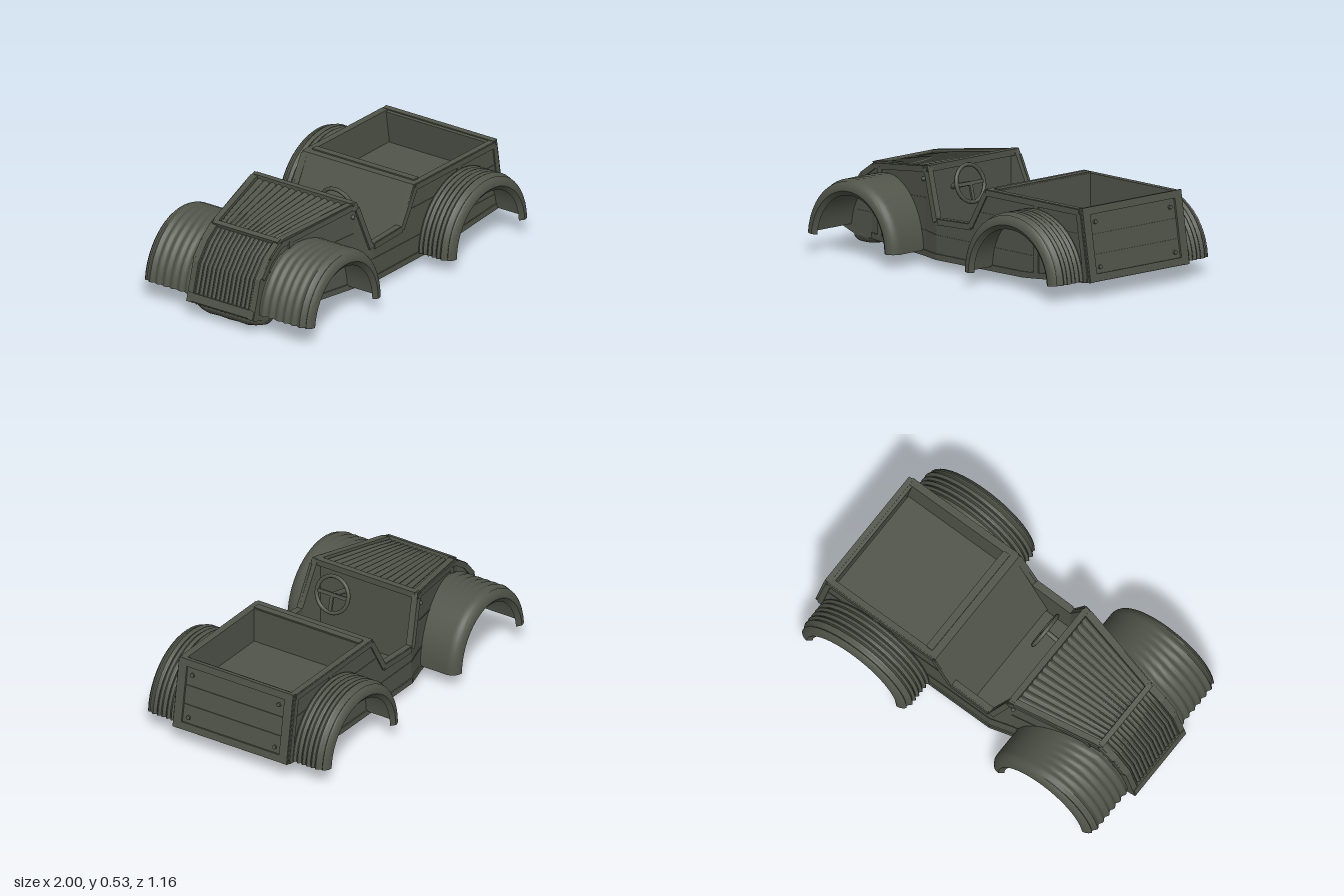
import * as THREE from 'three';
import { toCreasedNormals } from 'three/addons/utils/BufferGeometryUtils.js';

const paint = new THREE.MeshStandardMaterial({ color: 0x51554a, side: THREE.DoubleSide });
paint.name = 'dark olive grey';

// linear interpolation through [x, y] stations
function lerpPath(points, x) {
  for (let i = 1; i < points.length; i++) {
    const [a, b] = [points[i - 1], points[i]];
    if (x <= b[0]) return a[1] + (b[1] - a[1]) * Math.max(0, (x - a[0]) / (b[0] - a[0]));
  }
  return points[points.length - 1][1];
}
const WIDTH = [[-1, 0.22], [-0.78, 0.22], [-0.27, 0.33], [-0.15, 0.365], [1, 0.365]];
const BOTTOM = [[-1, 0.09], [-0.9, 0.055], [-0.8, 0.05], [0.5, 0.05], [1, 0.09]];
const halfWidth = (x) => lerpPath(WIDTH, x);

function add(parent, name, geometry) {
  const mesh = new THREE.Mesh(geometry, paint);
  mesh.name = name;
  parent.add(mesh);
  return mesh;
}

// surface from a rule fn(u, v) -> [x, y, z]
function sheet(nu, nv, fn) {
  const pos = [], idx = [];
  for (let i = 0; i <= nu; i++) for (let j = 0; j <= nv; j++) pos.push(...fn(i / nu, j / nv));
  for (let i = 0; i < nu; i++) for (let j = 0; j < nv; j++) {
    const a = i * (nv + 1) + j, b = a + nv + 1;
    idx.push(a, b, a + 1, b, b + 1, a + 1);
  }
  const g = new THREE.BufferGeometry();
  g.setAttribute('position', new THREE.Float32BufferAttribute(pos, 3));
  g.setIndex(idx);
  return toCreasedNormals(g, 0.6);
}

function extrude(points, depth) {
  const shape = new THREE.Shape(points.map((p) => new THREE.Vector2(...p)));
  return new THREE.ExtrudeGeometry(shape, { depth, bevelEnabled: false });
}

function box(parent, name, size, at) {
  const m = add(parent, name, new THREE.BoxGeometry(...size));
  m.position.set(...at);
  return m;
}

// straight batten between two points, its flat side facing z
function batten(parent, name, a, b, width, depth) {
  const p = new THREE.Vector3(...a), q = new THREE.Vector3(...b);
  const dir = q.clone().sub(p), length = dir.length();
  dir.normalize();
  const y = new THREE.Vector3(0, 0, 1).cross(dir).normalize();
  const z = dir.clone().cross(y);
  const m = box(parent, name, [length, width, depth], p.add(q).multiplyScalar(0.5).toArray());
  m.quaternion.setFromRotationMatrix(new THREE.Matrix4().makeBasis(dir, y, z));
}

// hollow arched mudguard with rounded shoulder and lengthwise ridges
function fender(parent, name, side, o) {
  const point = (t, s, inner) => {
    const angle = o.start + (o.end - o.start) * t;
    const x0 = o.cx + o.rx * Math.cos(angle);
    const zi = halfWidth(x0) - 0.02, zs = o.out - 0.06;
    const a = Math.max(0, (s - 0.75) / 0.25) * Math.PI / 2;
    let z = s < 0.75 ? zi + (zs - zi) * s / 0.75 : zs + 0.06 * Math.sin(a);
    let drop = 0.06 * (1 - Math.cos(a));
    if (inner) {
      drop += 0.025;
      z -= 0.02 * s;
    } else if (s < 0.85) {
      drop += 0.006 * o.ridge(t) * (1 - Math.cos(s * Math.PI * 16));
    }
    return [o.cx + (o.rx - drop) * Math.cos(angle),
      0.075 + (0.357 - drop) * Math.sin(angle), side * z];
  };
  const g = new THREE.Group();
  g.name = name;
  parent.add(g);
  add(g, 'fenderTop', sheet(24, 60, (t, s) => point(t, s, false)));
  add(g, 'fenderUnderside', sheet(24, 24, (t, s) => point(t, s, true)));
  add(g, 'fenderLip', sheet(24, 1, (t, k) => point(t, 1, k > 0)));
  for (const end of [0, 1]) add(g, 'fenderEnd', sheet(60, 1, (s, k) => point(end, s, k > 0)));
}

export function createModel() {
  const car = new THREE.Group();
  car.name = 'woodenCar';

  // side walls, each panel bent to the plan width
  const panels = {
    nosePanel: [[-1, 0.09], [-0.9, 0.055], [-0.78, 0.05], [-0.78, 0.455], [-0.86, 0.4], [-0.94, 0.3]],
    hoodPanel: [[-0.78, 0.05], [-0.27, 0.05], [-0.27, 0.533], [-0.74, 0.475], [-0.78, 0.455]],
    cowlPanel: [[-0.27, 0.05], [-0.15, 0.05], [-0.15, 0.27], [-0.25, 0.535], [-0.27, 0.533]],
    rearPanel: [[-0.15, 0.05], [0.5, 0.05], [1, 0.09], [0.99, 0.11], [0.93, 0.475], [0.21, 0.48],
      [0.1, 0.28], [-0.15, 0.27]],
  };
  // raised edge rails and plank seams as [x, y] runs
  const rails = [
    [[-0.78, 0.068], [-0.27, 0.066], [-0.15, 0.066], [0.5, 0.066], [0.98, 0.105]],
    [[-0.14, 0.253], [0.105, 0.262], [0.222, 0.462], [0.92, 0.457]],
    [[-0.92, 0.3], [-0.85, 0.385], [-0.76, 0.445], [-0.28, 0.513], [-0.25, 0.5], [-0.16, 0.25]],
    [[0.915, 0.45], [0.97, 0.11]],
    [[-0.7, 0.07], [-0.7, 0.45]],
    [[0.6, 0.07], [0.6, 0.45]],
  ];
  const seams = [
    [[-0.9, 0.19], [-0.78, 0.19], [-0.27, 0.185], [-0.15, 0.18], [0.96, 0.17]],
    [[-0.88, 0.32], [-0.78, 0.32], [-0.27, 0.36]],
    [[0.17, 0.35], [0.94, 0.34]],
  ];
  for (const side of [1, -1]) {
    const wall = new THREE.Group();
    wall.name = side > 0 ? 'frontFacingWall' : 'rearFacingWall';
    car.add(wall);
    for (const [name, points] of Object.entries(panels)) {
      const g = extrude(points, 0.035), p = g.attributes.position;
      for (let i = 0; i < p.count; i++) p.setZ(i, side * (halfWidth(p.getX(i)) - p.getZ(i)));
      g.computeVertexNormals();
      add(wall, name, g);
    }
    const run = (name, pts, w, d) => {
      for (let i = 1; i < pts.length; i++) {
        const at = ([x, y]) => [x, y, side * halfWidth(x)];
        batten(wall, name, at(pts[i - 1]), at(pts[i]), w, d);
      }
    };
    rails.forEach((r) => run('edgeRail', r, 0.032, 0.014));
    seams.forEach((r) => run('plankSeam', r, 0.006, 0.006));
    const bolt = add(wall, 'hoodBolt', new THREE.SphereGeometry(0.012, 10, 8));
    bolt.position.set(-0.28, 0.46, side * 0.333);

    fender(car, 'noseFender', side, { cx: -0.625, rx: 0.337, out: 0.55, start: 0, end: Math.PI - 0.1,
      ridge: (t) => Math.min(1, Math.max(0, (t - 0.45) * 4)) });
    fender(car, 'tailFender', side, { cx: 0.6, rx: 0.357, out: 0.578, start: 0.05, end: Math.PI,
      ridge: () => 1 });
  }

  // floor following the plan outline
  const floorX = [-1, -0.9, -0.78, -0.27, -0.15, 0.5, 1];
  add(car, 'floor', sheet(6, 1, (u, v) => {
    const x = floorX[Math.round(u * 6)];
    return [x, lerpPath(BOTTOM, x) + 0.001, (v * 2 - 1) * halfWidth(x)];
  }));
  add(car, 'cockpitFloor', extrude([[-0.28, 0.06], [0.08, 0.06], [0.08, 0.085], [-0.28, 0.085]], 0.64))
    .position.z = -0.32;

  // slatted hood and nose grille
  const hood = [[-0.995, 0.09], [-0.935, 0.295], [-0.855, 0.393], [-0.76, 0.458], [-0.6, 0.482], [-0.26, 0.522]];
  add(car, 'slattedHood', sheet(5, 112, (u, v) => {
    const [x, y] = hood[Math.round(u * 5)];
    const groove = 0.012 * Math.pow(Math.abs(Math.cos(v * Math.PI * 14)), 3);
    return [x + groove * (x < -0.8 ? 0.8 : 0), y - groove, (v * 2 - 1) * (halfWidth(x) - 0.03)];
  }));
  box(car, 'hoodCrossbar', [0.03, 0.022, 0.43], [-0.765, 0.458, 0]).rotation.z = 0.3;
  box(car, 'noseCrossbar', [0.025, 0.045, 0.43], [-0.983, 0.115, 0]).rotation.z = -0.28;
  box(car, 'cowlCrossbar', [0.035, 0.035, 0.64], [-0.262, 0.517, 0]);
  box(car, 'dashboard', [0.015, 0.44, 0.62], [-0.275, 0.29, 0]);

  // rounded roll under the nose
  const rollProfile = [[0, -0.222], [0.6, -0.215], [0.85, -0.17], [1, -0.12], [0.96, -0.06], [1, 0],
    [0.96, 0.06], [1, 0.12], [0.85, 0.17], [0.6, 0.215], [0, 0.222]];
  const roll = new THREE.LatheGeometry(rollProfile.map((p) => new THREE.Vector2(...p)), 20);
  roll.rotateX(Math.PI / 2);
  roll.scale(0.092, 0.056, 1);
  add(car, 'noseRoll', roll).position.set(-0.865, 0.06, 0);

  // sloping seat back joined to the cargo bed
  add(car, 'seatBackAndBed', extrude([[0, 0.08], [0.21, 0.48], [0.295, 0.48], [0.295, 0.285], [0.92, 0.285],
    [0.92, 0.26], [0.26, 0.26], [0.12, 0.08]], 0.67)).position.z = -0.335;
  box(car, 'bedFrontRim', [0.04, 0.012, 0.67], [0.272, 0.481, 0]);

  // tailgate: boards in a frame
  const gate = new THREE.Group();
  gate.name = 'tailgate';
  gate.position.set(0.945, 0.283, 0);
  gate.rotation.z = 0.16;
  car.add(gate);
  box(gate, 'gateBacking', [0.03, 0.38, 0.72], [-0.005, 0, 0]);
  for (const y of [-0.107, 0, 0.107]) box(gate, 'gateBoard', [0.012, 0.102, 0.64], [0.009, y, 0]);
  for (const s of [1, -1]) {
    box(gate, 'gateRail', [0.028, 0.04, 0.725], [0.012, s * 0.177, 0]);
    box(gate, 'gateStile', [0.028, 0.39, 0.052], [0.012, 0, s * 0.337]);
    for (const y of [-0.125, 0.115]) {
      const bolt = add(gate, 'gateBolt', new THREE.CylinderGeometry(0.012, 0.012, 0.012, 10));
      bolt.rotation.z = Math.PI / 2;
      bolt.position.set(0.019, y, s * 0.275);
    }
  }

  // steering wheel and column
  const steering = new THREE.Group();
  steering.name = 'steeringWheel';
  steering.position.set(-0.138, 0.428, 0.13);
  steering.rotation.z = 0.26;
  car.add(steering);
  add(steering, 'rim', new THREE.TorusGeometry(0.1, 0.011, 8, 28)).rotation.y = Math.PI / 2;
  box(steering, 'spoke', [0.012, 0.02, 0.2], [0, 0, 0]);
  box(steering, 'lowerSpoke', [0.012, 0.1, 0.02], [0, -0.05, 0]);
  const column = add(steering, 'column', new THREE.CylinderGeometry(0.012, 0.016, 0.14, 10));
  column.rotation.z = -Math.PI / 2;
  column.position.x = -0.07;

  return car;
}
